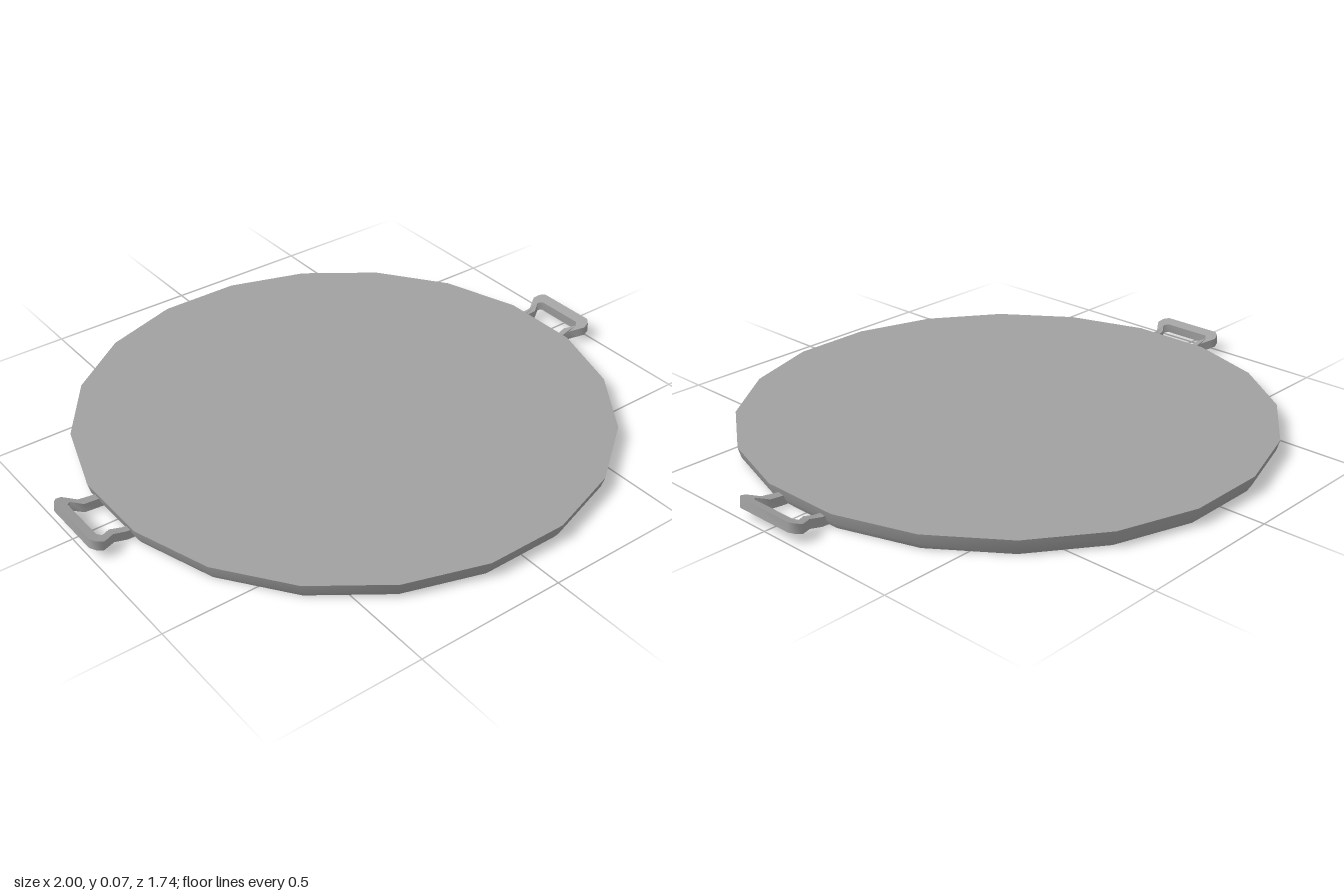
import * as THREE from 'three';
import { toCreasedNormals } from 'three/addons/utils/BufferGeometryUtils.js';

const SIDES = 20;

// Bend rule: height of the handle's underside at distance x from the centre
const CURVE = [[0.84, 0.002], [0.875, 0.004], [0.92, 0.013], [1, 0.038]];
function lift(x) {
  const i = Math.max(1, CURVE.findIndex(([cx]) => x <= cx));
  const [x0, y0] = CURVE[i - 1], [x1, y1] = CURVE[i];
  return y0 + (y1 - y0) * (x - x0) / (x1 - x0);
}

// Flat loop outline, extruded and bent upward towards its outer end
function handleGeometry() {
  const outer = [[0.84, 0.104], [0.875, 0.104], [0.917, 0.1], [0.945, 0.118], [0.963, 0.129], [0.985, 0.123], [0.998, 0.106]];
  const inner = [[0.965, 0.085], [0.952, 0.097], [0.917, 0.074], [0.875, 0.08], [0.84, 0.08]];
  const mirror = (pts) => pts.map(([x, z]) => [x, -z]).reverse();
  const outline = [...outer, ...mirror(outer), ...mirror(inner), ...inner];
  const shape = new THREE.Shape(outline.map(([x, z]) => new THREE.Vector2(x, z)));
  const geo = new THREE.ExtrudeGeometry(shape, { depth: 0.031, bevelEnabled: false });
  geo.rotateX(-Math.PI / 2);
  const p = geo.attributes.position;
  for (let i = 0; i < p.count; i++) {
    const x = p.getX(i), y = p.getY(i);
    // the outer end leans slightly, square to the slope
    const lean = x > 0.94 ? (0.031 - y) * 0.1 - 0.001 : 0;
    p.setXYZ(i, x + lean, y + lift(x), p.getZ(i));
  }
  return toCreasedNormals(geo, Math.PI / 3.2);
}

export function createModel() {
  const group = new THREE.Group();
  // Dark metal grey
  const material = new THREE.MeshStandardMaterial({ color: 0xa0a0a0 });

  const add = (name, geo) => {
    const mesh = new THREE.Mesh(geo, material);
    mesh.name = name;
    group.add(mesh);
    return mesh;
  };

  // Plate: smooth rim that curves in towards the base, flat top and base
  const turn = Math.PI / SIDES;
  const rim = [[0.857, 0], [0.87, 0.02], [0.88, 0.055]].map(([r, y]) => new THREE.Vector2(r, y));
  add('plateRim', new THREE.LatheGeometry(rim, SIDES, turn));
  const top = add('plateTop', new THREE.CircleGeometry(0.88, SIDES, turn).rotateX(-Math.PI / 2));
  top.position.y = 0.055;
  add('plateBase', new THREE.CircleGeometry(0.857, SIDES, turn).rotateX(Math.PI / 2));

  // Carrying handles on both sides
  const geo = handleGeometry();
  add('leftHandle', geo);
  add('rightHandle', geo).rotation.y = Math.PI;

  return group;
}
